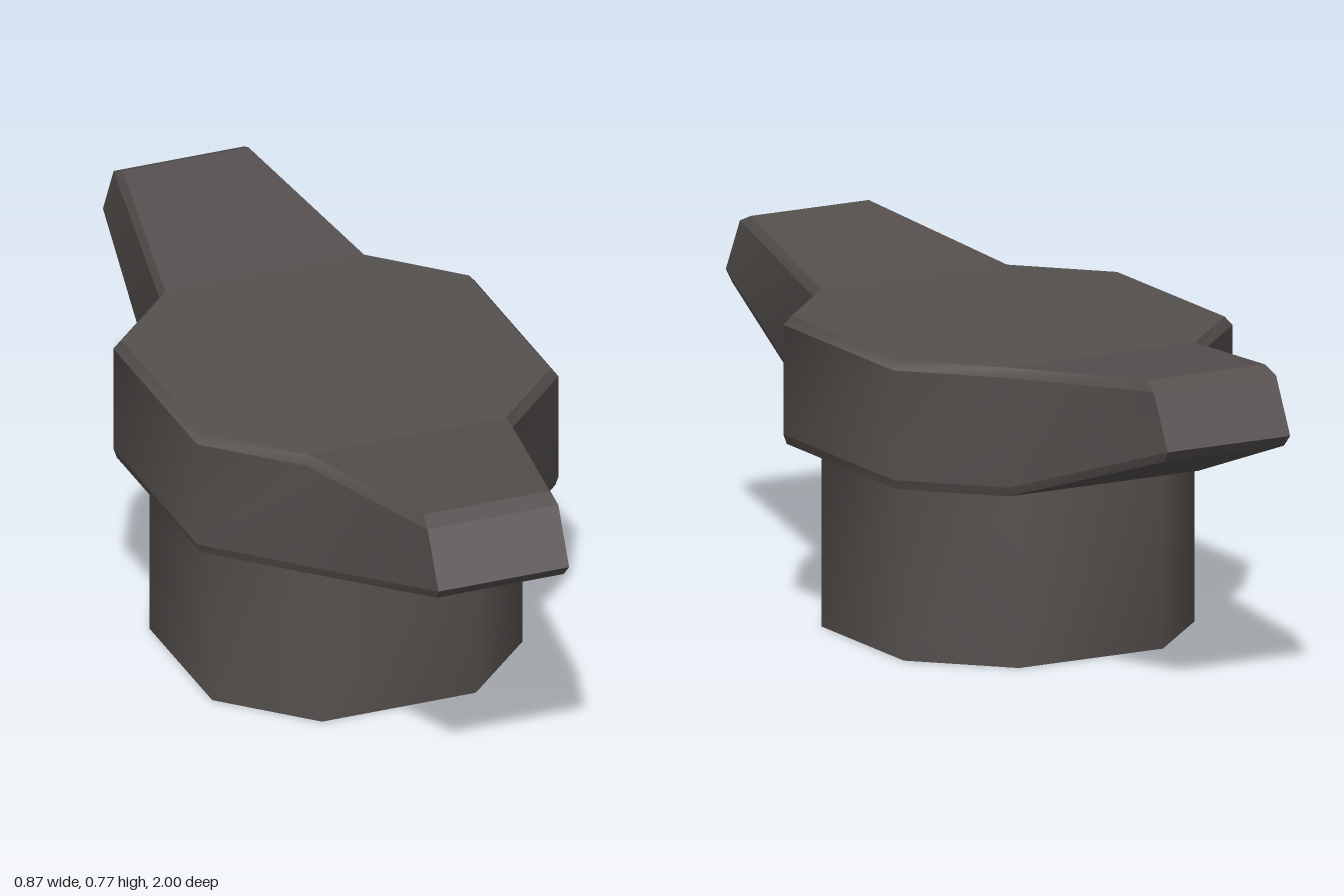
import * as THREE from 'three';
import { mergeGeometries, toCreasedNormals } from 'three/addons/utils/BufferGeometryUtils.js';

// Mirror a front-left quarter outline of [x, y, z] into a closed loop
function mirrorLoop(quarter) {
  const back = [...quarter].reverse();
  return [
    ...quarter,
    ...back.map(([x, y, z]) => [-x, y, z]),
    ...quarter.map(([x, y, z]) => [-x, y, -z]),
    ...back.map(([x, y, z]) => [x, y, -z]),
  ];
}

function makeGeometry(points, index, crease) {
  const geo = new THREE.BufferGeometry();
  geo.setAttribute('position', new THREE.Float32BufferAttribute(points.flat(), 3));
  geo.setIndex(index);
  return toCreasedNormals(geo, crease);
}

// Wall between two loops; 45 degree corners stay smooth, tip corners stay sharp
function band(lower, upper) {
  const n = lower.length;
  const index = [];
  for (let i = 0; i < n; i++) {
    const j = (i + 1) % n;
    index.push(i, i + n, j, j, i + n, j + n);
  }
  return makeGeometry([...lower, ...upper], index, 0.87);
}

// Flat octagonal centre with a sloping quad for each wing
function cap(loop, facesUp) {
  const index = [];
  for (const face of [[0, 1, 4, 5, 6, 7, 10, 11], [1, 2, 3, 4], [7, 8, 9, 10]]) {
    for (let i = 1; i < face.length - 1; i++) {
      const [a, b, c] = [face[0], face[i], face[i + 1]];
      index.push(...(facesUp ? [a, c, b] : [a, b, c]));
    }
  }
  return makeGeometry(loop, index, 0.1);
}

export function createModel() {
  const group = new THREE.Group();
  const darkGrey = new THREE.MeshStandardMaterial({ color: 0x55504e, side: THREE.DoubleSide });
  darkGrey.name = 'darkGrey';

  // Winged grip: body corner, wing root and wing tip at each level
  const levels = [
    [[0.43, 0.415, 0.247], [0.244, 0.415, 0.432], [0.153, 0.6, 0.98]],
    [[0.437, 0.437, 0.25], [0.25, 0.437, 0.438], [0.158, 0.626, 1]],
    [[0.437, 0.69, 0.25], [0.25, 0.69, 0.438], [0.158, 0.752, 0.936]],
    [[0.42, 0.71, 0.243], [0.24, 0.71, 0.425], [0.152, 0.77, 0.897]],
  ].map(mirrorLoop);
  const parts = [cap(levels[0], false), cap(levels[3], true)];
  for (let i = 0; i < 3; i++) parts.push(band(levels[i], levels[i + 1]));
  const grip = new THREE.Mesh(mergeGeometries(parts), darkGrey);
  grip.name = 'wingedGrip';
  group.add(grip);

  // Hollow eight-sided collar, open at the bottom
  const ring = (y) => mirrorLoop([[0.375, y, 0.186], [0.186, y, 0.375]]);
  const collar = new THREE.Mesh(band(ring(0), ring(0.415)), darkGrey);
  collar.name = 'collar';
  group.add(collar);

  return group;
}
